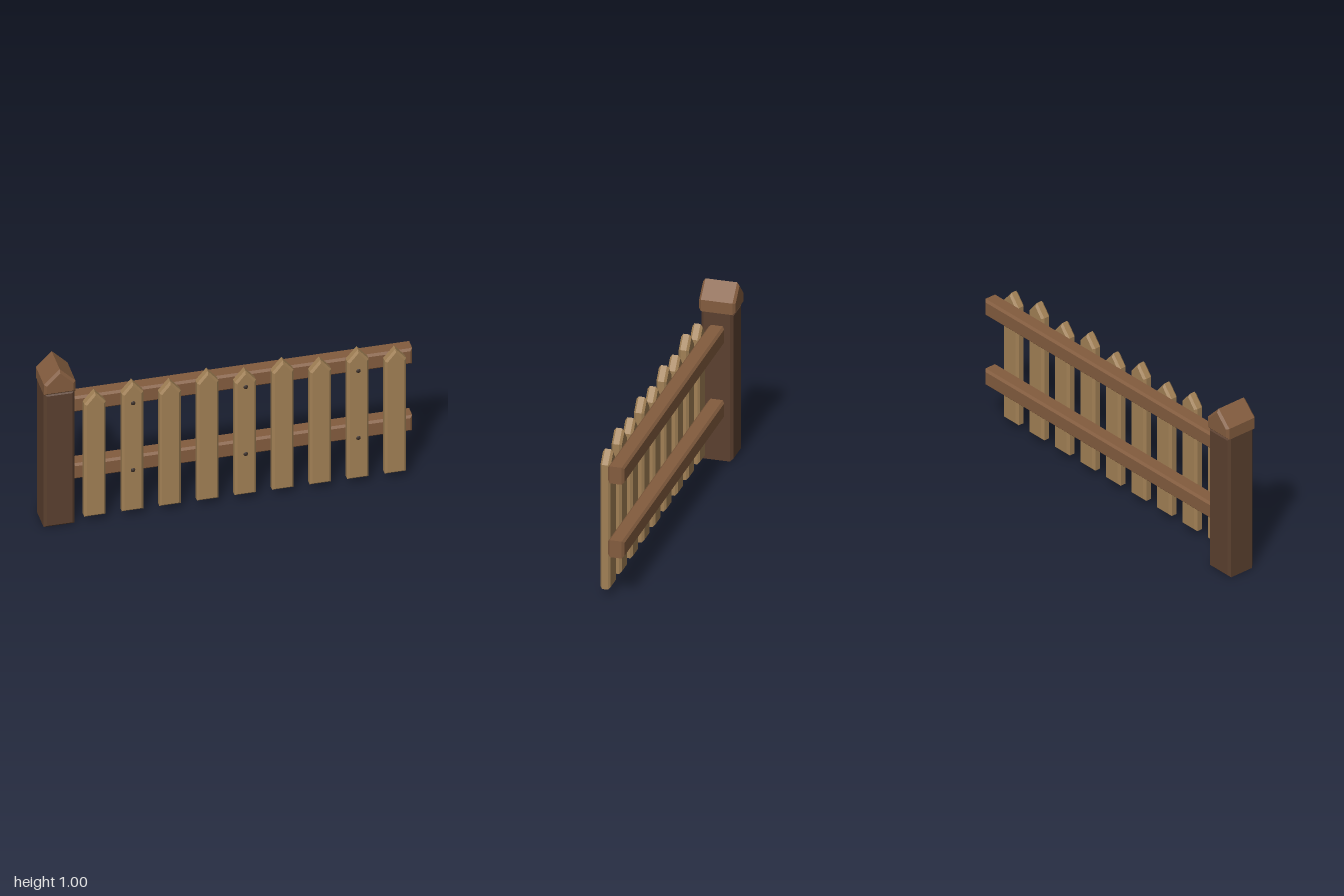
import * as THREE from 'three';

const mat = (name, color) => {
  const m = new THREE.MeshStandardMaterial({ color });
  m.name = name;
  return m;
};

export function createModel() {
  const fence = new THREE.Group();
  fence.name = 'picketFence';
  const darkWood = mat('dark post wood', 0x5b402f);
  const midWood = mat('brown rail wood', 0x835c3e);
  const paleWood = mat('pale picket wood', 0xa18055);
  const iron = mat('dark nail', 0x3a2e28);

  // Board cut from an outline, chamfered around its front and back faces
  function board(name, material, outline, zBack, zFront, bevel) {
    const shape = new THREE.Shape(outline.map(([x, y]) => new THREE.Vector2(x, y)));
    const geo = new THREE.ExtrudeGeometry(shape, {
      depth: zFront - zBack - 2 * bevel,
      bevelEnabled: true, bevelSegments: 1,
      bevelThickness: bevel, bevelSize: bevel, bevelOffset: -bevel,
    });
    geo.translate(0, 0, zBack + bevel);
    const mesh = new THREE.Mesh(geo, material);
    mesh.name = name;
    fence.add(mesh);
  }
  const rect = (x0, x1, y0, y1) => [[x0, y0], [x1, y0], [x1, y1], [x0, y1]];
  const pointed = (x, w, y0, shoulder, tip) => [
    [x - w / 2, y0], [x + w / 2, y0], [x + w / 2, shoulder], [x, tip], [x - w / 2, shoulder],
  ];

  // End post and its gabled cap
  board('post', darkWood, rect(-0.998, -0.832, 0, 0.85), -0.09, 0.084, 0.014);
  board('postCap', midWood, pointed(-0.915, 0.17, 0.848, 0.914, 1), -0.102, 0.097, 0.013);

  // Two horizontal rails
  board('lowerRail', midWood, rect(-0.832, 1, 0.252, 0.35), -0.047, 0.042, 0.012);
  board('upperRail', midWood, rect(-0.832, 1, 0.678, 0.776), -0.047, 0.042, 0.012);

  // Pickets alternate short and tall; every third one is nailed to the rails
  const nailGeo = new THREE.SphereGeometry(0.013, 8, 6);
  for (let i = 0; i < 9; i++) {
    const x = -0.725 + i * 0.2026;
    const tip = i % 2 ? 0.855 : 0.825;
    board('picket', paleWood, pointed(x, 0.116, 0.04, tip - 0.069, tip), 0.042, 0.098, 0.012);
    if (i % 3 !== 1) continue;
    for (const y of [0.301, 0.727]) {
      const nail = new THREE.Mesh(nailGeo, iron);
      nail.name = 'nail';
      nail.scale.z = 0.6;
      nail.position.set(x, y, 0.097);
      fence.add(nail);
    }
  }
  return fence;
}
